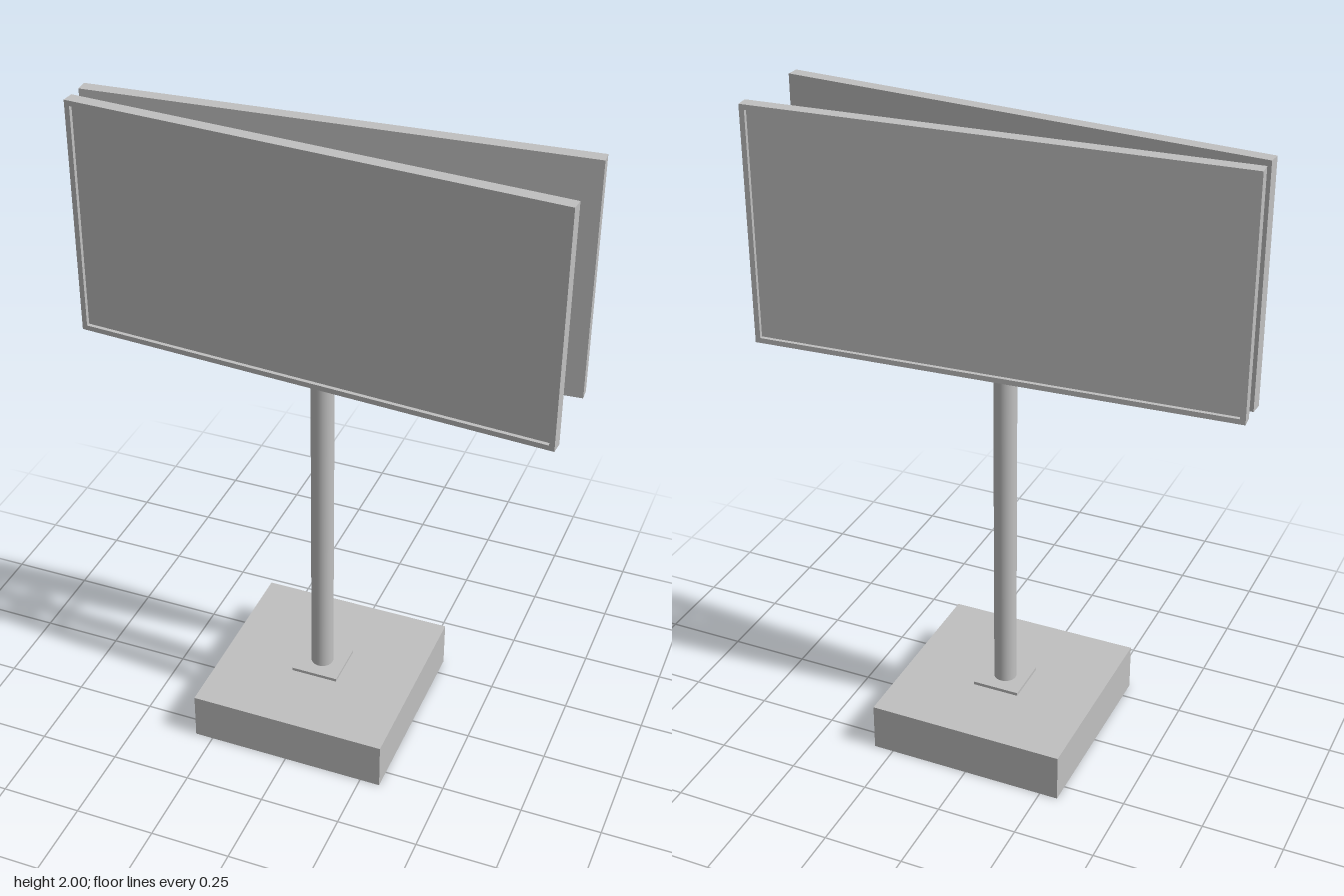
import * as THREE from 'three';

const steel = new THREE.MeshStandardMaterial({ color: 0xc0c0c0 });
steel.name = 'steel grey';

const TILT = 0.0685;                      // angle of each sign face
const innerZ = x => 0.0715 + TILT * x;    // back plane of the front sign

function add(parent, name, geometry, x = 0, y = 0, z = 0) {
  const mesh = new THREE.Mesh(geometry, steel);
  mesh.name = name;
  mesh.position.set(x, y, z);
  parent.add(mesh);
  return mesh;
}

const box = (w, h, d) => new THREE.BoxGeometry(w, h, d);

// Flat bar of constant width along a path in (x, z), extruded along y and centred on y = 0
function bentBar(path, width, height) {
  const sides = [[], []];
  path.forEach((p, i) => {
    const a = path[Math.max(i - 1, 0)], b = path[Math.min(i + 1, path.length - 1)];
    const d1 = (i ? p.clone().sub(a) : b.clone().sub(p)).normalize();
    const d2 = (i < path.length - 1 ? b.clone().sub(p) : p.clone().sub(a)).normalize();
    const t = d1.clone().add(d2).normalize();
    const off = new THREE.Vector2(-t.y, t.x).multiplyScalar(width / 2 / t.dot(d1));
    sides[0].push(p.clone().sub(off));
    sides[1].push(p.clone().add(off));
  });
  const shape = new THREE.Shape([...sides[0], ...sides[1].reverse()]);
  const g = new THREE.ExtrudeGeometry(shape, { depth: height, bevelEnabled: false });
  return g.translate(0, 0, -height / 2).rotateX(Math.PI / 2);
}

// Sign box: back sheet plus a raised rim around the display face
function makeSign() {
  const sign = new THREE.Group();
  const w = 1.482, h = 0.735, depth = 0.04, rim = 0.016, recess = 0.012;
  const tilted = new THREE.Group();
  tilted.rotation.y = -Math.atan(TILT);
  tilted.position.z = innerZ(0) + depth / 2;
  sign.add(tilted);
  add(tilted, 'displayPanel', box(w - 2 * rim, h - 2 * rim, depth - recess), 0, 0, -recess / 2);
  for (const s of [-1, 1]) {
    add(tilted, 'horizontalRim', box(w, rim, depth), 0, s * (h - rim) / 2, 0);
    add(tilted, 'verticalRim', box(rim, h - 2 * rim, depth), s * (w - rim) / 2, 0, 0);
  }
  return sign;
}

// Support frame: end posts and two rails bent around the far side of the pole
function makeFrame() {
  const frame = new THREE.Group();
  const h = 0.47, bar = 0.02, railH = 0.016, end = 0.655;
  const railZ = x => innerZ(x) - bar / 2;
  const path = [
    [-end, railZ(-end)], [-0.165, railZ(-0.165)], [-0.09, 0], [-0.045, -0.037], [-0.02, -0.05],
    [0, -0.054], [0.02, -0.05], [0.045, -0.037], [0.09, 0], [0.165, railZ(0.165)], [end, railZ(end)],
  ].map(p => new THREE.Vector2(...p));
  for (const s of [-1, 1]) {
    add(frame, 'bentRail', bentBar(path, 0.019, railH), 0, s * (h - railH) / 2, 0);
    const x = s * (end - bar / 2);
    const post = add(frame, 'endPost', box(bar, h - 2 * railH, bar), x, 0, railZ(x));
    post.rotation.y = -Math.atan(TILT);
  }
  return frame;
}

export function createModel() {
  const model = new THREE.Group();
  model.name = 'doubleSidedSign';

  // Footing, mounting plate and pole
  add(model, 'footing', box(0.62, 0.152, 0.62), 0.003, 0.076, 0);
  add(model, 'mountingPlate', box(0.15, 0.01, 0.15), 0.003, 0.157, 0);
  add(model, 'pole', new THREE.CylinderGeometry(0.035, 0.035, 1.68, 32), 0.002, 1.0, 0);

  // Front and back signs with their frames; half a turn about x gives the back pair
  for (const [side, turn] of [['front', 0], ['back', Math.PI]]) {
    const sign = makeSign();
    sign.name = side + 'Sign';
    sign.position.y = 1.6325;
    const frame = makeFrame();
    frame.name = side + 'Frame';
    frame.position.y = 1.555;
    for (const part of [sign, frame]) {
      part.rotation.x = turn;
      model.add(part);
    }
  }
  return model;
}
